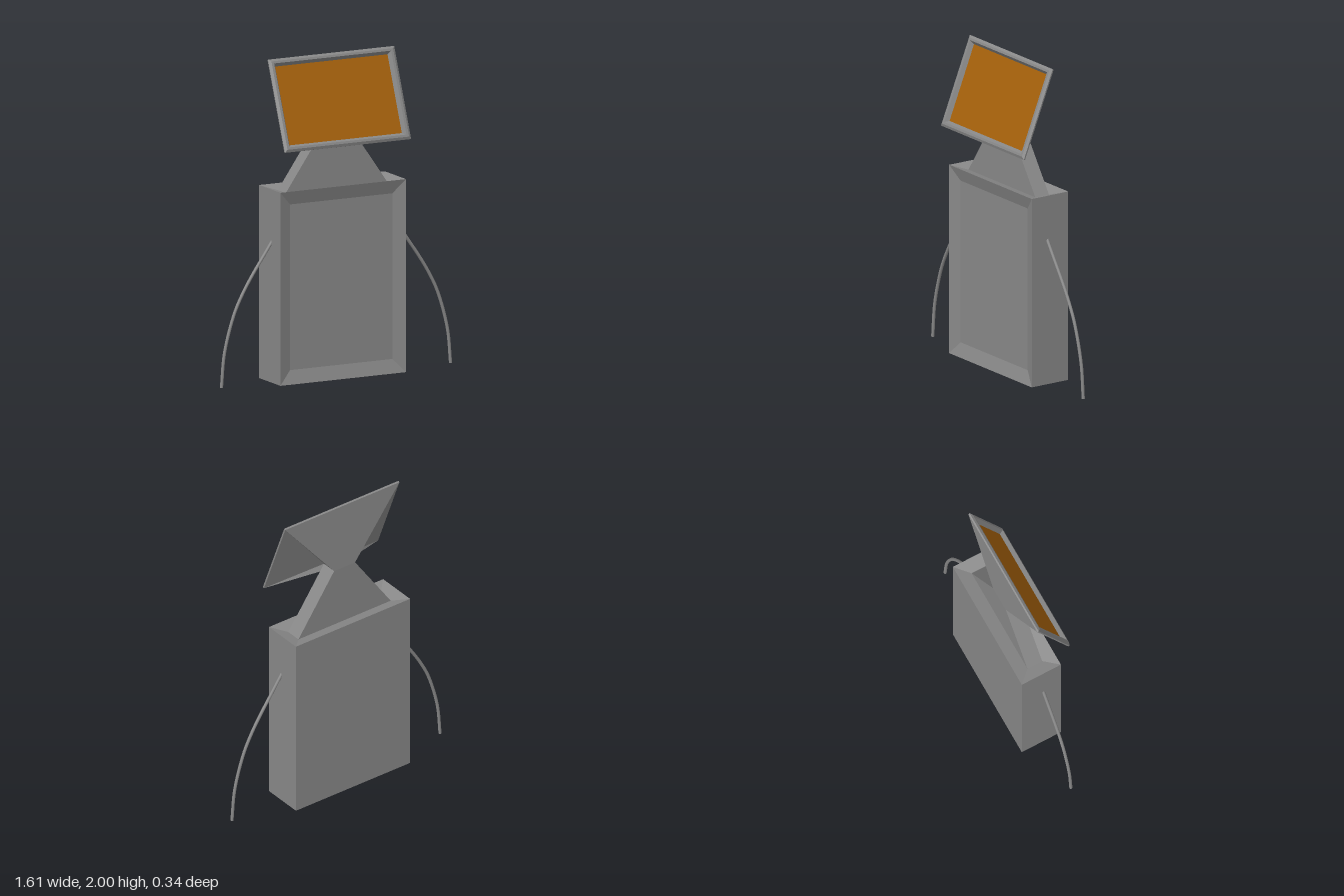
import * as THREE from 'three';
import { mergeGeometries } from 'three/addons/utils/BufferGeometryUtils.js';

const grey = new THREE.MeshStandardMaterial({ color: 0x888888, flatShading: true, side: THREE.DoubleSide });
const smoothGrey = new THREE.MeshStandardMaterial({ color: 0x888888 });
const orange = new THREE.MeshStandardMaterial({ color: 0xa5610a, side: THREE.DoubleSide });

const CX = -0.015; // body and head sit slightly off the centre line
const TILT = 0.379; // backward lean of the screen

// Skins a series of rings (corners counter-clockwise seen from outside), optionally capping the last.
function loft(rings, cap = false) {
  const pos = [];
  const tri = (a, b, c) => {
    const area = b.clone().sub(a).cross(c.clone().sub(a)).length();
    if (area > 1e-8) for (const p of [a, b, c]) pos.push(p.x, p.y, p.z);
  };
  const n = rings[0].length;
  for (let r = 0; r + 1 < rings.length; r++) {
    const a = rings[r], b = rings[r + 1];
    for (let i = 0; i < n; i++) {
      const j = (i + 1) % n;
      // the diagonals are mirrored on the left half
      if (i < n / 2) {
        tri(a[i], a[j], b[j]);
        tri(a[i], b[j], b[i]);
      } else {
        tri(a[i], a[j], b[i]);
        tri(a[j], b[j], b[i]);
      }
    }
  }
  const last = rings[rings.length - 1];
  if (cap) for (let i = 1; i + 1 < n; i++) tri(last[0], last[i], last[i + 1]);
  const geo = new THREE.BufferGeometry();
  geo.setAttribute('position', new THREE.Float32BufferAttribute(pos, 3));
  geo.computeVertexNormals();
  return geo;
}

const ring = (points) => points.map(([x, y, z]) => new THREE.Vector3(CX + x, y, z));

// Rectangle ring in the leaning plane of the screen, d along its normal
const screenRing = (w, h, d) => ring([[-w, -h], [w, -h], [w, h], [-w, h]].map(([x, y]) => [
  x,
  1.73 + y * Math.cos(TILT) + d * Math.sin(TILT),
  0.0575 - y * Math.sin(TILT) + d * Math.cos(TILT),
]));

// Rectangles facing the front and the top
const frontRing = (w, y0, y1, z) => ring([[-w, y0, z], [w, y0, z], [w, y1, z], [-w, y1, z]]);
const topRing = (w, z0, z1, y) => ring([[-w, y, z1], [w, y, z1], [w, y, z0], [-w, y, z0]]);

export function createModel() {
  const model = new THREE.Group();
  const add = (name, geometry, material = grey) => {
    const mesh = new THREE.Mesh(geometry, material);
    mesh.name = name;
    model.add(mesh);
  };

  // Body: box with shallow bevelled recesses in the front and the top
  const W = 0.436, H = 1.2, B = -0.167, F = 0.105;
  const side = (x, z0, z1) => ring([[x, 0, z0], [x, 0, z1], [x, H, z1], [x, H, z0]]);
  add('body', mergeGeometries([
    loft([frontRing(W, 0, H, F), frontRing(0.355, 0.085, 1.115, 0.078)], true),
    loft([topRing(W, B, F, H), topRing(0.3525, -0.082, 0.02, 1.175)], true),
    loft([side(W, F, B)], true),
    loft([side(-W, B, F)], true),
    loft([frontRing(-W, 0, H, B)], true),
    loft([topRing(-W, B, F, 0)], true),
  ]));

  // Neck: trapezoid slab standing in the top recess
  const outline = new THREE.Shape([[-0.3525, 1.175], [0.3525, 1.175], [0.08, 1.565], [-0.08, 1.565]]
    .map(([x, y]) => new THREE.Vector2(CX + x, y)));
  const neck = new THREE.ExtrudeGeometry(outline, { depth: 0.102, bevelEnabled: false });
  neck.translate(0, 0, -0.082);
  add('neck', neck);

  // Head shell: tapers from the screen frame to the top of the neck
  const [bl, br, tr, tl] = screenRing(0.436, 0.29, -0.01);
  const root = ring([
    [-0.11, 1.52, 0.02], [0.11, 1.52, 0.02], [0.08, 1.565, 0.02],
    [0.08, 1.565, -0.082], [-0.08, 1.565, -0.082], [-0.08, 1.565, 0.02],
  ]);
  add('headShell', loft([root, [bl, br, br, tr, tl, bl]]));

  // Screen frame: raised border, chamfered outside and bevelled inside
  add('screenFrame', loft([
    screenRing(0.436, 0.29, -0.01),
    screenRing(0.438, 0.291, 0),
    screenRing(0.422, 0.276, 0.01),
    screenRing(0.406, 0.262, 0.01),
    screenRing(0.39, 0.246, -0.015),
  ]));

  // Screen
  add('screen', loft([screenRing(0.39, 0.246, -0.015)], true), orange);

  // Arms: thin drooping tubes with closed ends
  for (const s of [-1, 1]) {
    const path = new THREE.CatmullRomCurve3([
      [0.41, 0.925], [0.495, 0.802], [0.58, 0.68], [0.645, 0.575], [0.706, 0.45], [0.773, 0.217], [0.795, 0],
    ].map(([x, y]) => new THREE.Vector3(s * x, y, -0.015)));
    const name = s > 0 ? 'leftArm' : 'rightArm';
    add(name, new THREE.TubeGeometry(path, 32, 0.01, 10), smoothGrey);
    const tip = new THREE.CircleGeometry(0.01, 10);
    tip.rotateX(Math.PI / 2);
    tip.translate(s * 0.795, 0, -0.015);
    add(name + 'Tip', tip, smoothGrey);
  }

  return model;
}
